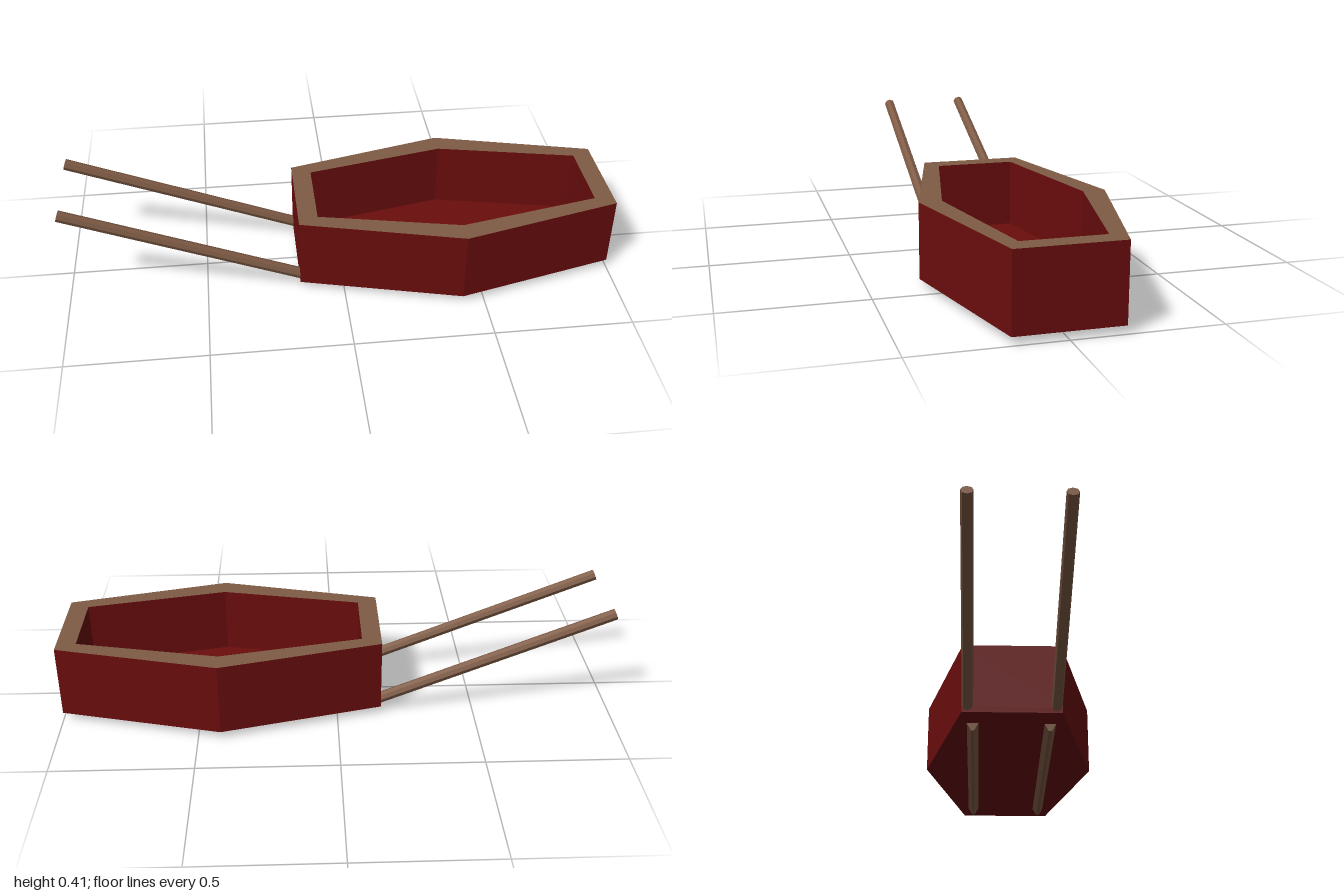
import * as THREE from 'three';

const red = new THREE.MeshStandardMaterial({ name: 'dark red paint', color: 0x6b0d0d });
const wood = new THREE.MeshStandardMaterial({ name: 'brown wood', color: 0x7f5b45, flatShading: true });

// Six-sided outline, symmetrical about the long axis
function hexagon(Type, x0, x1, endHalf, midHalf) {
  const mid = (x0 + x1) / 2;
  return new Type([
    [x0, -endHalf], [mid, -midHalf], [x1, -endHalf],
    [x1, endHalf], [mid, midHalf], [x0, endHalf],
  ].map(([x, z]) => new THREE.Vector2(x, z)));
}

// Extrudes an outline upwards between two heights
function upright(shape, y0, y1) {
  return new THREE.ExtrudeGeometry(shape, { depth: y1 - y0, bevelEnabled: false })
    .rotateX(-Math.PI / 2).translate(0, y0, 0);
}

export function createModel() {
  const model = new THREE.Group();
  model.name = 'handBarrow';
  const add = (name, geometry, material) => {
    const mesh = new THREE.Mesh(geometry, material);
    mesh.name = name;
    model.add(mesh);
    return mesh;
  };

  // Tub: floor plate and hollow walls with a bare wooden rim
  add('tubFloor', upright(hexagon(THREE.Shape, -0.16, 1, 0.18, 0.326), 0.028, 0.048), red);
  const wall = hexagon(THREE.Shape, -0.16, 1, 0.18, 0.326);
  wall.holes.push(hexagon(THREE.Path, -0.09, 0.93, 0.14, 0.247));
  add('tubWalls', upright(wall, 0.048, 0.293), [wood, red]);

  // Runner: tapered bar, narrow side down
  const section = new THREE.Shape([
    new THREE.Vector2(-0.006, 0), new THREE.Vector2(0.006, 0),
    new THREE.Vector2(0.021, 0.028), new THREE.Vector2(-0.021, 0.028),
  ]);
  const runner = new THREE.ExtrudeGeometry(section, { depth: 0.96, bevelEnabled: false })
    .rotateY(Math.PI / 2).translate(-0.06, 0, 0);

  // Handle: eight-sided pole sloping up from the tub
  const low = new THREE.Vector3(-0.15, 0.052, 0);
  const high = new THREE.Vector3(-0.993, 0.386, 0);
  const along = high.clone().sub(low);
  const handle = new THREE.CylinderGeometry(0.0205, 0.0205, along.length(), 8)
    .rotateZ(Math.atan2(along.y, along.x) - Math.PI / 2)
    .translate((low.x + high.x) / 2, (low.y + high.y) / 2, 0);

  for (const [side, s] of [['front', 1], ['back', -1]]) {
    add(side + 'Runner', runner, wood).position.z = 0.141 * s;
    add(side + 'Handle', handle, wood).position.z = 0.159 * s;
  }
  return model;
}
